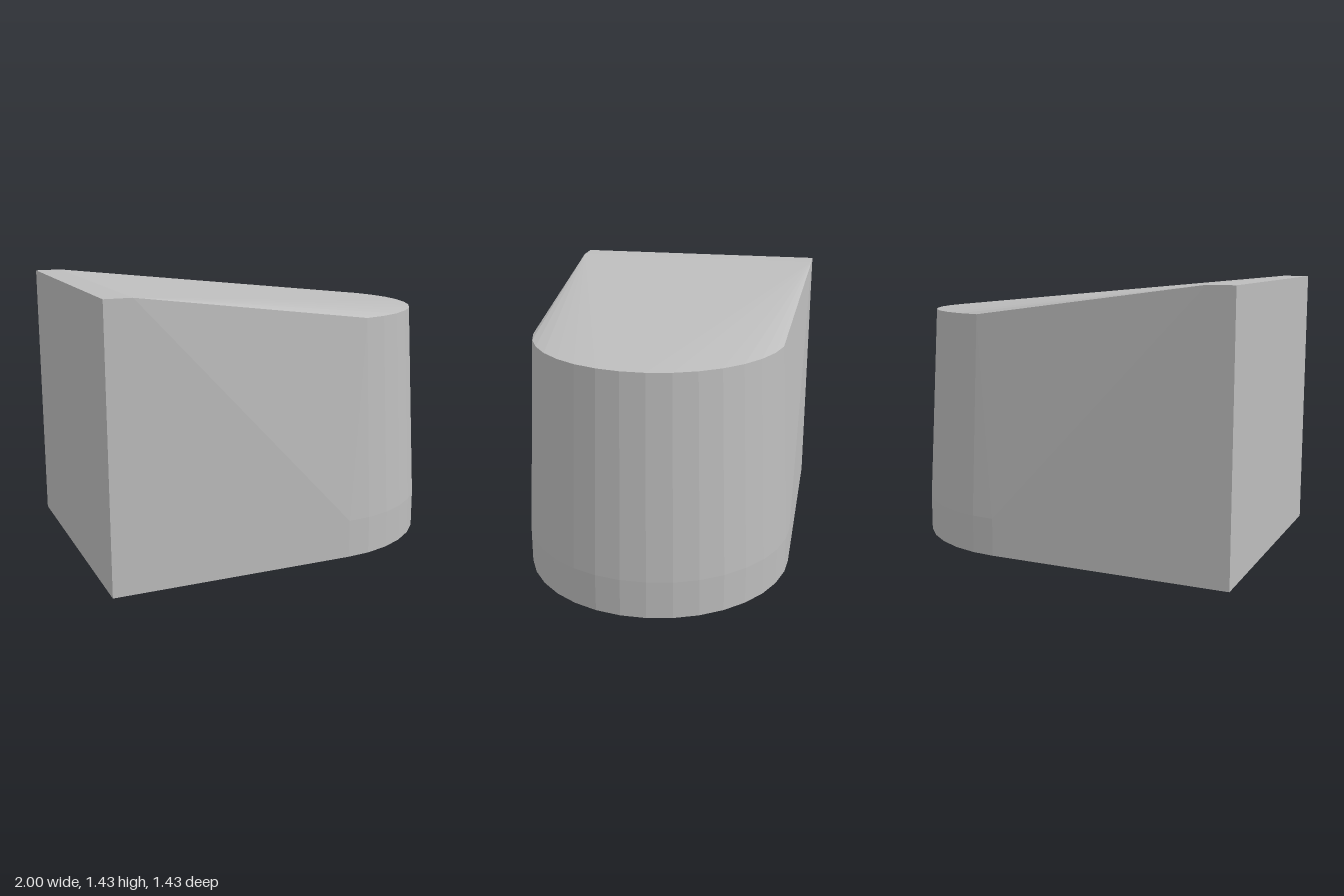
import * as THREE from 'three';
import { ConvexGeometry } from 'three/addons/geometries/ConvexGeometry.js';

const HALF = 0.714; // half width of the block

// Points of a faceted round nose at height y
function nosePoints(centerX, radius, y) {
  const points = [];
  const steps = 15;
  const spread = THREE.MathUtils.degToRad(80);
  for (let i = 0; i <= steps; i++) {
    const a = -spread + (2 * spread * i) / steps;
    points.push(new THREE.Vector3(centerX + radius * Math.cos(a), y, radius * Math.sin(a)));
  }
  return points;
}

export function createModel() {
  const group = new THREE.Group();
  group.name = 'roundNosedBlock';
  const grey = new THREE.MeshStandardMaterial({ color: 0xbdbdbd, flatShading: true });
  grey.name = 'grey';

  // Rounded nose: upright base band, then a taper to the lower top rim
  const points = [
    ...nosePoints(0.286, HALF, 0),
    ...nosePoints(0.286, HALF, 0.2),
    ...nosePoints(0.281, 0.66, 1.256),
  ];

  // Square tail with a short level top, and the straight sides of the base
  for (const z of [-HALF, HALF]) {
    for (const [x, y] of [[-1, 0], [-1, 1.43], [-0.86, 1.43], [0.286, 0], [0.286, 0.2]]) {
      points.push(new THREE.Vector3(x, y, z));
    }
  }

  const body = new THREE.Mesh(new ConvexGeometry(points), grey);
  body.name = 'body';
  group.add(body);
  return group;
}
